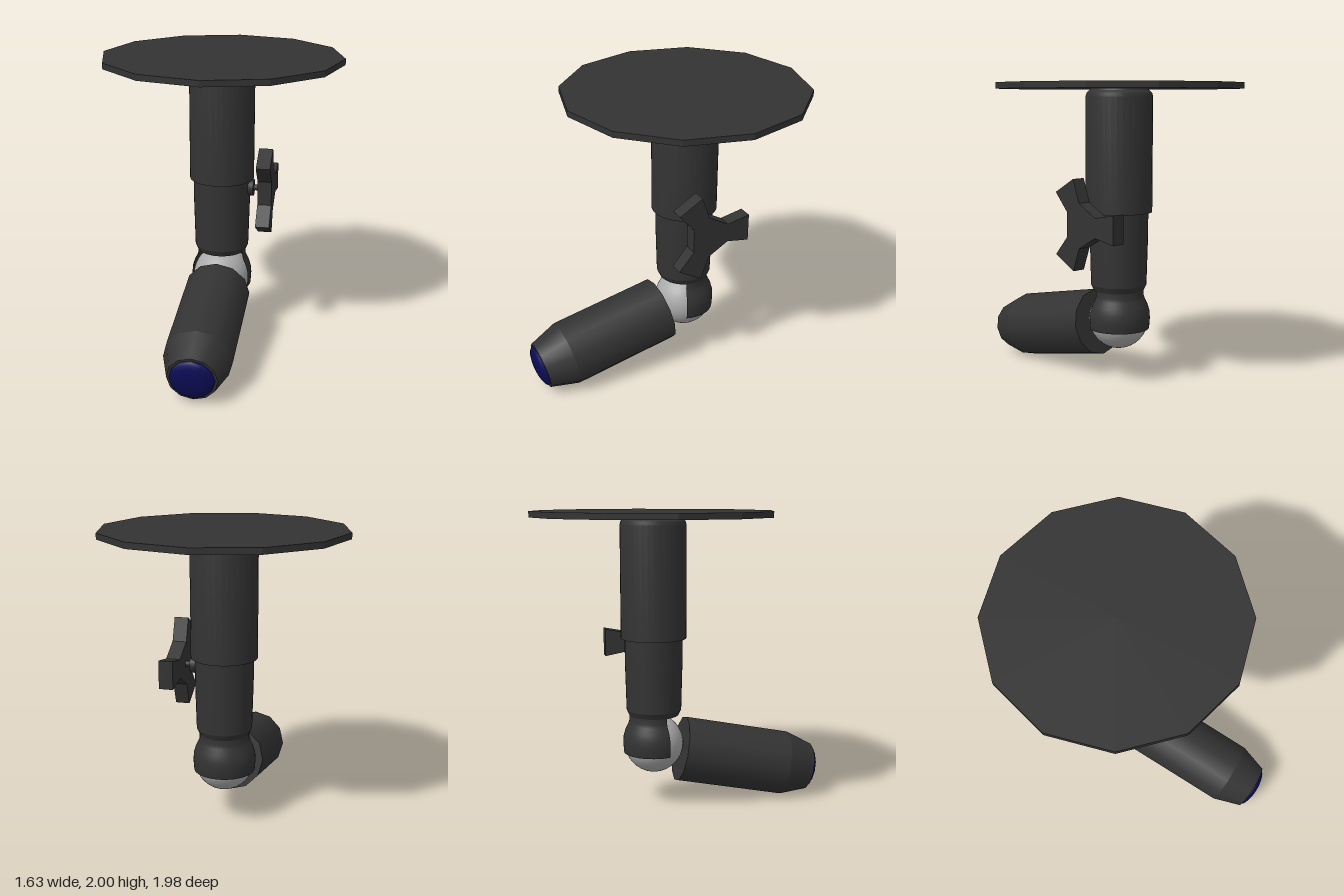
import * as THREE from 'three';
import { toCreasedNormals } from 'three/addons/utils/BufferGeometryUtils.js';

const AXIS_Z = -0.167; // depth of the vertical post

export function createModel() {
  const group = new THREE.Group();
  const mat = (name, color) => {
    const m = new THREE.MeshStandardMaterial({ color });
    m.name = name;
    return m;
  };
  const dark = mat('charcoal', 0x333333);
  dark.side = THREE.DoubleSide;
  const grey = mat('light grey', 0xaaaaaa);
  const blue = mat('dark blue glass', 0x0c0c58);

  const add = (parent, name, geometry, material, x = 0, y = 0, z = 0) => {
    const mesh = new THREE.Mesh(geometry, material);
    mesh.name = name;
    mesh.position.set(x, y, z);
    parent.add(mesh);
    return mesh;
  };
  const lathe = (points, segments, start = 0, length = Math.PI * 2) =>
    new THREE.LatheGeometry(points.map(([r, y]) => new THREE.Vector2(r, y)), segments, start, length);

  // Twelve-sided mounting plate with flat sides
  add(group, 'mountingPlate',
    toCreasedNormals(new THREE.CylinderGeometry(0.815, 0.815, 0.04, 12), 0.2), dark, 0, 1.98, AXIS_Z);

  // Telescoping post
  add(group, 'upperTube', toCreasedNormals(lathe(
    [[0, 1.15], [0.222, 1.15], [0.222, 1.91], [0.215, 1.935], [0.195, 1.952], [0.19, 1.965]], 36), 0.3), dark, 0, 0, AXIS_Z);
  add(group, 'lowerTube', toCreasedNormals(lathe(
    [[0, 0.62], [0.168, 0.62], [0.187, 0.66], [0.196, 1.0], [0.196, 1.16]], 36), 0.3), dark, 0, 0, AXIS_Z);

  // Ball joint, held by a socket that is open towards the front
  add(group, 'jointBall', new THREE.SphereGeometry(0.2, 32, 24), grey, 0, 0.42, AXIS_Z);
  add(group, 'jointSocket', lathe(
    [[0.198, 0.36], [0.207, 0.36], [0.212, 0.43], [0.209, 0.475], [0.196, 0.52], [0.176, 0.56], [0.168, 0.585], [0.168, 0.625]],
    28, THREE.MathUtils.degToRad(69), THREE.MathUtils.degToRad(222)), dark, 0, 0, AXIS_Z);

  // Clamp knob on the left side: collar, shaft and three flared arms
  const knob = new THREE.Group();
  knob.name = 'clampKnob';
  knob.position.set(0, 1.085, AXIS_Z);
  group.add(knob);
  const collar = new THREE.CylinderGeometry(0.057, 0.057, 0.05, 20).rotateZ(Math.PI / 2);
  add(knob, 'knobCollar', collar, dark, 0.2);
  const shaft = new THREE.CylinderGeometry(0.02, 0.02, 0.1, 16).rotateZ(Math.PI / 2);
  add(knob, 'knobShaft', shaft, dark, 0.23);
  const corners = [];
  for (let i = 0; i < 3; i++) {
    for (const [x, y] of [[0.133, -0.065], [0.293, -0.095], [0.293, 0.095], [0.133, 0.065]]) {
      corners.push(new THREE.Vector2(x, y).rotateAround(new THREE.Vector2(), i * Math.PI * 2 / 3));
    }
  }
  const star = new THREE.ExtrudeGeometry(new THREE.Shape(corners), { depth: 0.095, bevelEnabled: false });
  add(knob, 'knobHandle', star.rotateY(Math.PI / 2), dark, 0.265);

  // Lamp head, tilted downwards; its axis is local z
  const lamp = new THREE.Group();
  lamp.name = 'lampHead';
  lamp.position.set(0, 0.367, 0.02);
  lamp.rotation.x = THREE.MathUtils.degToRad(11.2);
  group.add(lamp);
  const barrel = new THREE.CylinderGeometry(0.227, 0.227, 0.742, 12, 1).rotateX(Math.PI / 2);
  add(lamp, 'lampBarrel', barrel, dark, 0, 0, 0.371);
  const nose = new THREE.CylinderGeometry(0.164, 0.227, 0.196, 12, 1).rotateX(Math.PI / 2);
  add(lamp, 'lampNose', nose, dark, 0, 0, 0.84);
  const lens = new THREE.SphereGeometry(0.148, 12, 6, 0, Math.PI * 2, 0, Math.PI / 2)
    .scale(1, 0.32, 1).rotateX(Math.PI / 2);
  add(lamp, 'lens', lens, blue, 0, 0, 0.937);

  return group;
}
